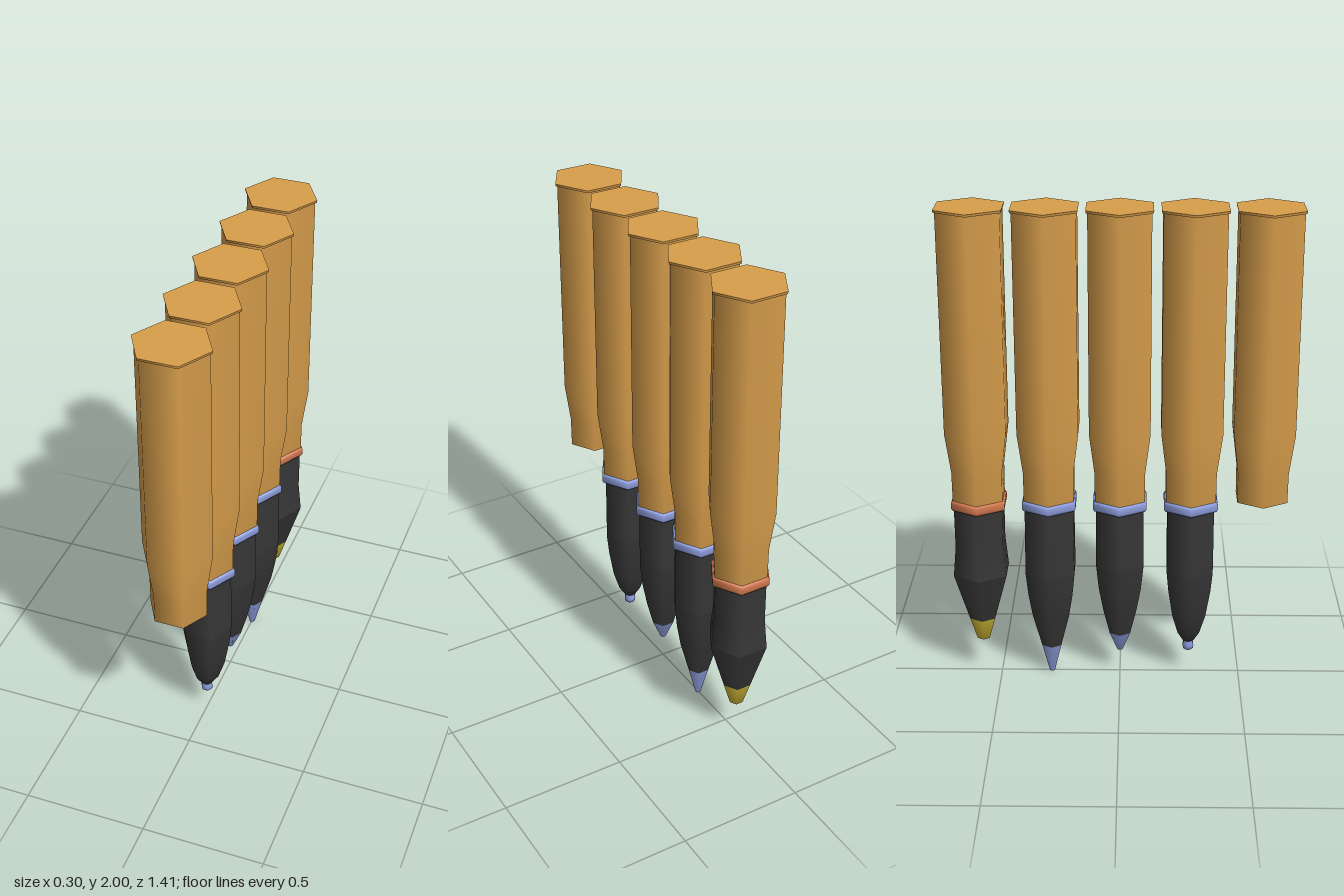
import * as THREE from 'three';

const mat = (name, color) => Object.assign(new THREE.MeshStandardMaterial({ color }), { name });

// Six-sided turned part; corners point along +x and -x
function turned(name, profile, material) {
  const points = profile.map(([r, y]) => new THREE.Vector2(r, y));
  const mesh = new THREE.Mesh(new THREE.LatheGeometry(points, 6, Math.PI / 2), material);
  mesh.name = name;
  return mesh;
}

export function createModel() {
  const brass = mat('brass', 0xd99f4c);
  const dark = mat('darkMetal', 0x383838);
  const blue = mat('bluePaint', 0x8f9fdf);
  const red = mat('redPaint', 0xd67a50);
  const yellow = mat('yellowPaint', 0xd6be38);

  // Hollow case: inner wall, mouth lip, neck, shoulder, body
  const caseProfile = [
    [0, 1.94], [0.128, 1.92], [0.128, 1.1], [0.103, 0.93], [0.103, 0.805],
    [0.116, 0.805], [0.117, 0.93], [0.141, 1.1], [0.141, 1.992],
  ];
  const ringProfile = [
    [0.108, 0.763], [0.12, 0.765], [0.125, 0.775], [0.125, 0.795], [0.12, 0.805], [0.108, 0.807],
  ];

  // Profiles run from bottom to top
  const rounds = [
    { name: 'emptyCase', z: 0.574 },
    {
      name: 'ballTipRound', z: 0.287, ring: blue, paint: blue,
      tip: [[0, 0.103], [0.014, 0.105], [0.024, 0.115], [0.026, 0.128], [0.022, 0.142], [0.02, 0.16]],
      nose: [[0, 0.146], [0.024, 0.15], [0.052, 0.195], [0.079, 0.28], [0.1, 0.4], [0.109, 0.485]],
      body: [[0.109, 0.485], [0.109, 0.6], [0.108, 0.82]],
    },
    {
      name: 'shortPointRound', z: 0, ring: blue, paint: blue,
      tip: [[0, 0.103], [0.012, 0.103], [0.049, 0.19]],
      nose: [[0.049, 0.19], [0.078, 0.3], [0.1, 0.41], [0.112, 0.515]],
      body: [[0.112, 0.515], [0.112, 0.6], [0.11, 0.82]],
    },
    {
      name: 'longPointRound', z: -0.287, ring: blue, paint: blue,
      tip: [[0, 0], [0.012, 0], [0.046, 0.13]],
      nose: [[0.046, 0.13], [0.087, 0.28], [0.105, 0.38], [0.116, 0.48]],
      body: [[0.116, 0.48], [0.115, 0.6], [0.113, 0.82]],
    },
    {
      name: 'bluntRound', z: -0.574, ring: red, paint: yellow,
      tip: [[0, 0.158], [0.029, 0.158], [0.06, 0.258]],
      nose: [[0.06, 0.258], [0.125, 0.472]],
      body: [[0.125, 0.472], [0.112, 0.6], [0.113, 0.82]],
    },
  ];

  const model = new THREE.Group();
  model.name = 'cartridgeRow';
  for (const r of rounds) {
    const group = new THREE.Group();
    group.name = r.name;
    group.position.z = r.z;
    group.add(turned('case', caseProfile, brass));

    // Flared base rim
    const rim = new THREE.Mesh(new THREE.CylinderGeometry(0.149, 0.147, 0.01, 6, 1, false, Math.PI / 2), brass);
    rim.name = 'rim';
    rim.position.y = 1.995;
    group.add(rim);

    // Projectile and mouth ring
    if (r.body) {
      group.add(
        turned('mouthRing', ringProfile, r.ring),
        turned('projectileBody', r.body, dark),
        turned('projectileNose', r.nose, dark),
        turned('paintedTip', r.tip, r.paint),
      );
    }
    model.add(group);
  }
  return model;
}
